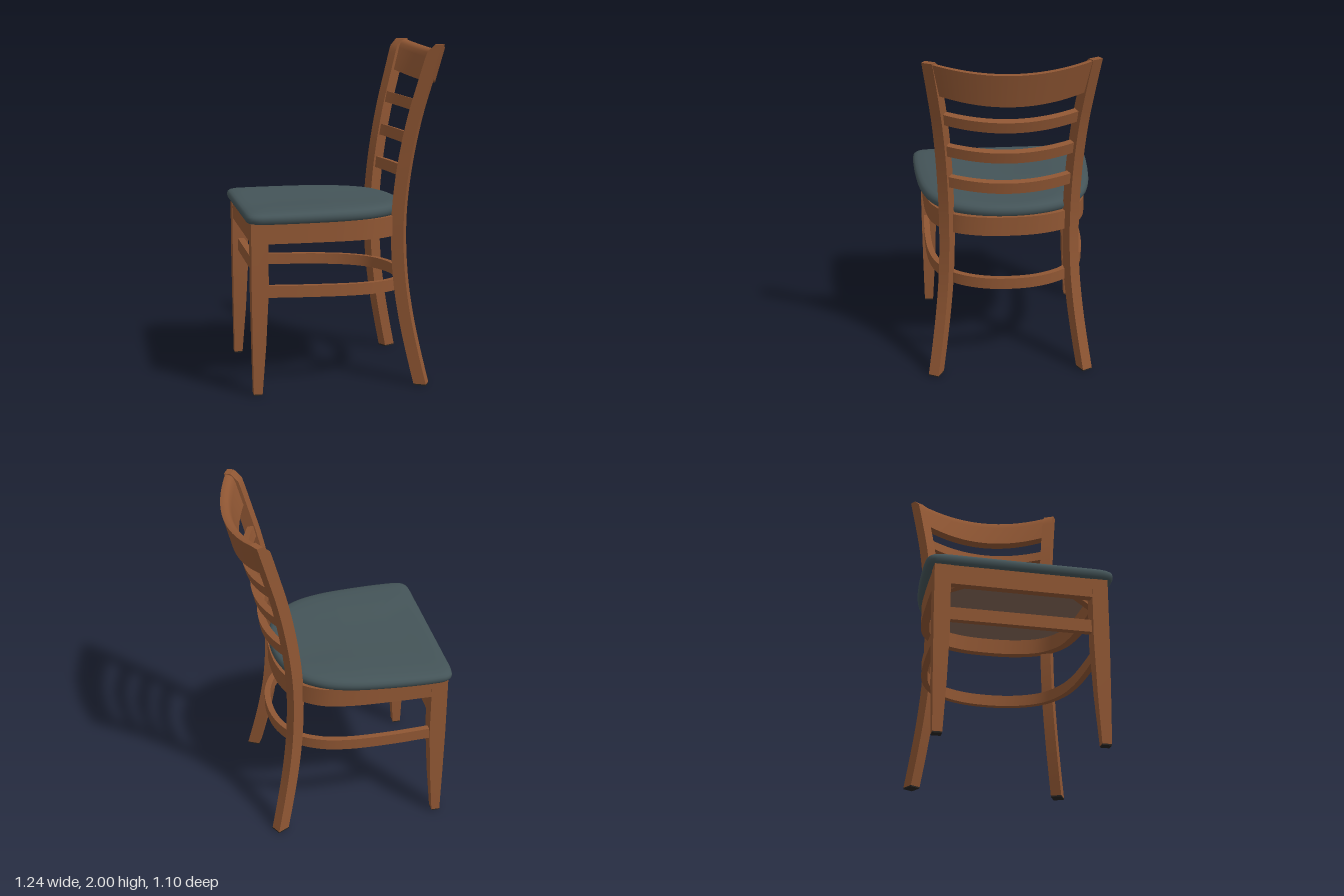
import * as THREE from 'three';
import { toCreasedNormals } from 'three/addons/utils/BufferGeometryUtils.js';

const mat = (name, color) => {
  const m = new THREE.MeshStandardMaterial({ color });
  m.name = name;
  return m;
};

// Closed solid through equal-length rings of [x, y, z] corners, capped at both ends
function loft(rings, crease = 0.6) {
  const n = rings[0].length, pos = rings.flat(2), idx = [];
  for (let r = 0; r < rings.length - 1; r++)
    for (let i = 0; i < n; i++) {
      const j = (i + 1) % n, a = r * n + i, b = r * n + j, c = a + n, d = b + n;
      idx.push(a, b, d, a, d, c);
    }
  [0, rings.length - 1].forEach((r, end) => {
    const centre = [0, 1, 2].map(k => rings[r].reduce((s, p) => s + p[k], 0) / n);
    const c = pos.length / 3;
    pos.push(...centre);
    for (let i = 0; i < n; i++) {
      const a = r * n + i, b = r * n + (i + 1) % n;
      idx.push(c, ...(end ? [a, b] : [b, a]));
    }
  });
  // Turn the faces outward if the volume comes out negative
  const v = i => new THREE.Vector3().fromArray(pos, idx[i] * 3);
  let vol = 0;
  for (let i = 0; i < idx.length; i += 3) vol += v(i).dot(v(i + 1).cross(v(i + 2)));
  if (vol < 0) idx.reverse();
  const g = new THREE.BufferGeometry();
  g.setAttribute('position', new THREE.Float32BufferAttribute(pos, 3));
  g.setIndex(idx);
  return toCreasedNormals(g, crease);
}

// Half outline (z >= 0, ending on the centre line) mirrored and smoothed
function outline(half, closed, count) {
  const start = half[0][1] === 0 ? 1 : 0;
  const all = [...half, ...half.slice(start, -1).reverse().map(([x, z]) => [x, -z])];
  const curve = new THREE.CatmullRomCurve3(all.map(([x, z]) => new THREE.Vector3(x, 0, z)), closed);
  const pts = curve.getSpacedPoints(count);
  if (closed) pts.pop();
  return pts;
}

// Upright rectangular band bent along a plan outline
function band(pts, thick, low, high) {
  return loft(pts.map((p, i) => {
    const t = pts[Math.min(i + 1, pts.length - 1)].clone().sub(pts[Math.max(i - 1, 0)]).normalize();
    const nx = -t.z * thick / 2, nz = t.x * thick / 2;
    return [
      [p.x + nx, low(p.x), p.z + nz], [p.x + nx, high(p.x), p.z + nz],
      [p.x - nx, high(p.x), p.z - nz], [p.x - nx, low(p.x), p.z - nz],
    ];
  }));
}

// Cross-sections as [up, back] fractions: plain, and with an eased top front edge
const SQUARE = [[-1, -1], [1, -1], [1, 1], [-1, 1]];
const EASED = [[-1, -1], [0.4, -1], [0.7, -0.9], [0.86, -0.6], [0.95, -0.1], [1, 0.5], [1, 1], [-1, 1]];

// Back rail bowed to the rear, leaning by tilt, with raised ends
function bowedRail({ x, y, tilt, height, thick, low, high, sag, rise, section = SQUARE }) {
  const s = Math.sin(tilt), c = Math.cos(tilt), rings = [];
  for (let i = 0; i <= 24; i++) {
    const u = i / 12 - 1;
    rings.push(section.map(([a, b]) => [
      x - sag * u * u + s * a * height / 2 + c * b * thick / 2,
      y + rise * u * u + c * a * height / 2 - s * b * thick / 2,
      u * (low + (high - low) * (a + 1) / 2),
    ]));
  }
  return loft(rings, 0.75);
}

// Section of a back post, turned to follow the bowed back
function postRing(side, p, front = -0.0375) {
  const turn = 0.49, c = Math.cos(turn), s = Math.sin(turn), d = 0.0375, w = 0.0325;
  return [[front, -w], [front, w], [d, w], [d, -w]].map(([a, b]) =>
    [p.x + a * c - b * s, p.y, side * (p.z + a * s + b * c)]);
}

// Curved back post
function backPost(side) {
  const path = new THREE.CatmullRomCurve3([
    [0.416, 0.008, 0.45], [0.374, 0.2, 0.421], [0.336, 0.4, 0.395], [0.309, 0.6, 0.376],
    [0.296, 0.8, 0.367], [0.296, 1, 0.366], [0.313, 1.2, 0.371], [0.343, 1.4, 0.381],
    [0.384, 1.6, 0.397], [0.437, 1.8, 0.421], [0.492, 2, 0.448],
  ].map(p => new THREE.Vector3(...p)));
  const rings = [];
  for (let i = 0; i <= 48; i++) {
    const p = path.getPoint(i / 48);
    // The front edge rounds over at the very top
    const k = Math.max(0, (p.y - 1.94) / 0.06);
    rings.push(postRing(side, p, -0.0375 + 0.035 * (1 - Math.sqrt(Math.max(0, 1 - k * k)))));
  }
  return loft(rings);
}

// Front leg: square above, tapering on its inner faces below
function frontLeg(side) {
  return loft([[0.008, 0.051, 0.055, 0.007], [0.3, 0.078, 0.077, 0.003],
    [0.62, 0.098, 0.093, 0], [1, 0.098, 0.093, 0]].map(([y, dx, dz, inset]) => {
    const x = -0.593 + inset, z = 0.503 - inset;
    return [[x, y, z * side], [x + dx, y, z * side], [x + dx, y, (z - dz) * side], [x, y, (z - dz) * side]];
  }));
}

export function createModel() {
  const chair = new THREE.Group();
  chair.name = 'chair';
  const wood = mat('brown wood', 0x8f5633);
  const fabric = mat('slate upholstery', 0x445458);
  const under = mat('brown underside', 0x826656);
  const black = mat('black glides', 0x262422);
  const add = (name, geometry, material = wood) => {
    const m = new THREE.Mesh(geometry, material);
    m.name = name;
    chair.add(m);
    return m;
  };
  const box = (name, size, at, material) => {
    const m = add(name, new THREE.BoxGeometry(...size), material);
    m.position.set(...at);
    return m;
  };

  // Padded seat: scaled outline rings with a rolled edge and a shallow dip
  const plan = outline([[-0.62, 0], [-0.62, 0.3], [-0.617, 0.48], [-0.605, 0.52], [-0.575, 0.541], [-0.5, 0.548],
    [-0.25, 0.538], [0, 0.505], [0.15, 0.45], [0.27, 0.35], [0.345, 0.19], [0.37, 0]], true, 200);
  const roll = [[0.1, 1], [0.94, 1], [0.98, 1.006], [0.997, 1.02], [1, 1.035], [0.995, 1.048],
    [0.975, 1.061], [0.94, 1.069], [0.85, 1.075], [0.7, 1.078], [0.5, 1.079], [0.3, 1.079], [0.1, 1.079]];
  const cx = -0.125;
  add('seatCushion', loft(roll.map(([s, y]) => plan.map(p => {
    const x = cx + (p.x - cx) * s, z = p.z * s, top = Math.max(0, (y - 1.04) / 0.04);
    const dip = 0.012 * Math.max(0, 1 - (z / 0.32) ** 2) * Math.min(1, (1 - s) / 0.3);
    const nose = 0.009 * Math.min(1, Math.max(0, (-x - 0.1) / 0.4));
    return [x, y - (dip + nose) * top, z];
  })), 1.2), fabric);

  // Bent seat frame, front rail and corner blocks
  const rim = outline([[-0.5, 0.475], [-0.25, 0.472], [0, 0.457], [0.15, 0.42], [0.27, 0.325],
    [0.33, 0.18], [0.347, 0]], false, 64);
  add('seatFrame', band(rim, 0.05, () => 0.885, () => 1.002));
  box('frontSeatRail', [0.05, 0.117, 0.84], [-0.565, 0.9435, 0]);
  for (const side of [1, -1]) {
    const block = box('cornerBlock', [0.04, 0.08, 0.2], [-0.47, 0.94, 0.385 * side]);
    block.rotation.y = side * Math.PI / 4;
  }

  // Board closing the underside of the seat
  const board = new THREE.Shape([...rim.map(p => new THREE.Vector2(p.x, p.z)),
    new THREE.Vector2(-0.56, -0.46), new THREE.Vector2(-0.56, 0.46)]);
  const boardGeo = new THREE.ExtrudeGeometry(board, { depth: 0.012, bevelEnabled: false });
  boardGeo.rotateX(Math.PI / 2);
  add('seatBoard', boardGeo, under).position.y = 0.992;

  // Legs and posts with thin glides below
  for (const side of [1, -1]) {
    const label = side > 0 ? 'left' : 'right';
    add(label + 'FrontLeg', frontLeg(side));
    box(label + 'FrontGlide', [0.049, 0.008, 0.053], [-0.5605, 0.004, 0.4685 * side], black);
    add(label + 'BackPost', backPost(side));
    add(label + 'BackGlide', loft([0, 0.008].map(y => postRing(side, { x: 0.416, y, z: 0.45 }))), black);
  }

  // Lower hoop sloping down to the rear, and the front stretcher
  const hoop = outline([[-0.51, 0.47], [-0.25, 0.472], [0, 0.455], [0.15, 0.415], [0.28, 0.33],
    [0.362, 0.18], [0.387, 0]], false, 64);
  const slope = y => x => y - 0.023 * (x + 0.5);
  add('lowerHoop', band(hoop, 0.036, slope(0.573), slope(0.641)));
  box('frontStretcher', [0.04, 0.075, 0.86], [-0.54, 0.717, 0]);

  // Crest rail and three ladder slats
  add('crestRail', bowedRail({ x: 0.569, y: 1.857, tilt: 0.25, height: 0.202, thick: 0.052,
    low: 0.4, high: 0.435, sag: 0.085, rise: 0.045, section: EASED }));
  const slats = [[0.487, 1.612, 0.25, 0.388, 0.098, 0.027], [0.44, 1.412, 0.22, 0.374, 0.09, 0.023],
    [0.408, 1.212, 0.14, 0.366, 0.09, 0.019]];
  for (const [x, y, tilt, half, sag, rise] of slats)
    add('backSlat', bowedRail({ x, y, tilt, height: 0.068, thick: 0.042, low: half, high: half, sag, rise }));

  return chair;
}
